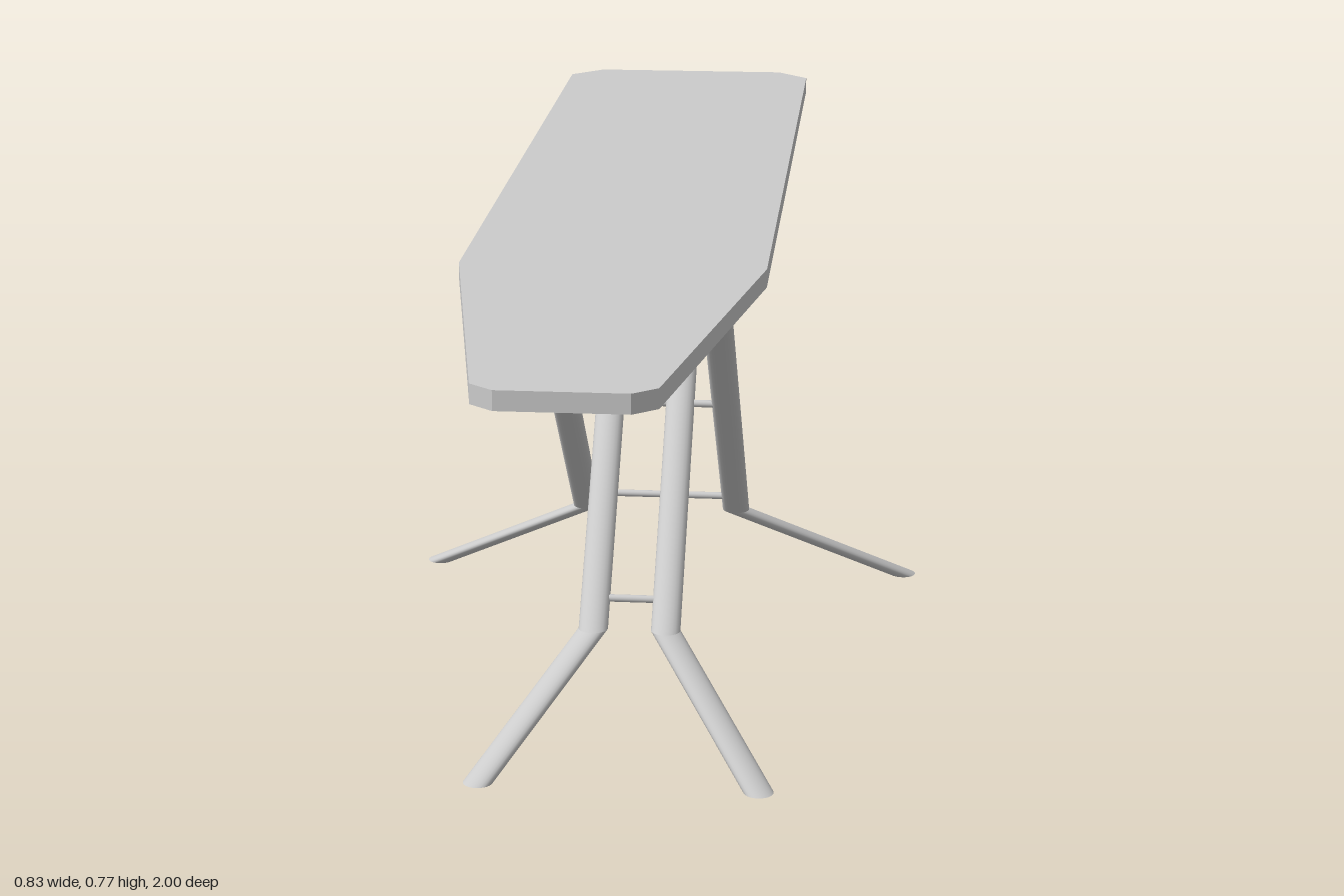
import * as THREE from 'three';

const material = new THREE.MeshStandardMaterial({ color: 0xcccccc });
const TUBE_RADIUS = 0.0215;

function addMesh(parent, name, geometry) {
  const mesh = new THREE.Mesh(geometry, material);
  mesh.name = name;
  parent.add(mesh);
  return mesh;
}

// Slanted tube whose ends are cut level: an upright cylinder sheared from a to b.
function slantedTube(a, b) {
  const [dx, dy, dz] = b.map((v, i) => v - a[i]);
  const geometry = new THREE.CylinderGeometry(TUBE_RADIUS, TUBE_RADIUS, 1, 24);
  geometry.translate(0, 0.5, 0);
  return geometry.applyMatrix4(new THREE.Matrix4().set(
    1, dx, 0, a[0],
    0, dy, 0, a[1],
    0, dz, 1, a[2],
    0, 0, 0, 1));
}

// Round bar across the model, reaching halfWidth to either side.
function addCrossbar(parent, name, halfWidth, y, z) {
  const geometry = new THREE.CylinderGeometry(0.0055, 0.0055, halfWidth * 2, 16);
  geometry.rotateZ(Math.PI / 2);
  addMesh(parent, name, geometry).position.set(0, y, z);
}

// A mirrored pair of bent legs joined by a bar just above the knees.
function legPair(name, { foot, knee, top }) {
  const pair = new THREE.Group();
  pair.name = name;
  for (const [side, s] of [['left', 1], ['right', -1]]) {
    const [f, k, t] = [foot, knee, top].map(([x, y, z]) => [x * s, y, z]);
    addMesh(pair, side + 'Foot', slantedTube(f, k));
    addMesh(pair, side + 'Leg', slantedTube(k, t));
  }
  const barY = 0.205;
  const u = (barY - knee[1]) / (top[1] - knee[1]);
  addCrossbar(pair, 'lowerCrossbar', knee[0], barY, THREE.MathUtils.lerp(knee[2], top[2], u));
  return pair;
}

// Flat board: tapered nose at the front, clipped corners at both ends.
function boardGeometry() {
  const half = [[0.08, 1], [0.11, 0.975], [0.205, 0.41], [0.205, -0.95], [0.155, -1]];
  const outline = [...half, ...half.map(([x, z]) => [-x, z]).reverse()];
  const shape = new THREE.Shape(outline.map(([x, z]) => new THREE.Vector2(x, -z)));
  const geometry = new THREE.ExtrudeGeometry(shape, { depth: 0.025, bevelEnabled: false });
  return geometry.rotateX(-Math.PI / 2).translate(0, 0.75, 0);
}

export function createModel() {
  const model = new THREE.Group();
  model.name = 'ironingBoard';

  addMesh(model, 'board', boardGeometry());

  // Inner legs stand at the front, outer legs at the back; they cross in the middle.
  model.add(legPair('innerLegs', {
    foot: [0.2, 0, 0.355], knee: [0.053, 0.17, 0.173], top: [0.053, 0.752, -0.395],
  }));
  model.add(legPair('outerLegs', {
    foot: [0.395, 0, -0.575], knee: [0.122, 0.17, -0.387], top: [0.122, 0.752, 0.257],
  }));

  // Pivot bar where the legs cross
  addCrossbar(model, 'pivotBar', 0.122, 0.437, -0.09);

  return model;
}
